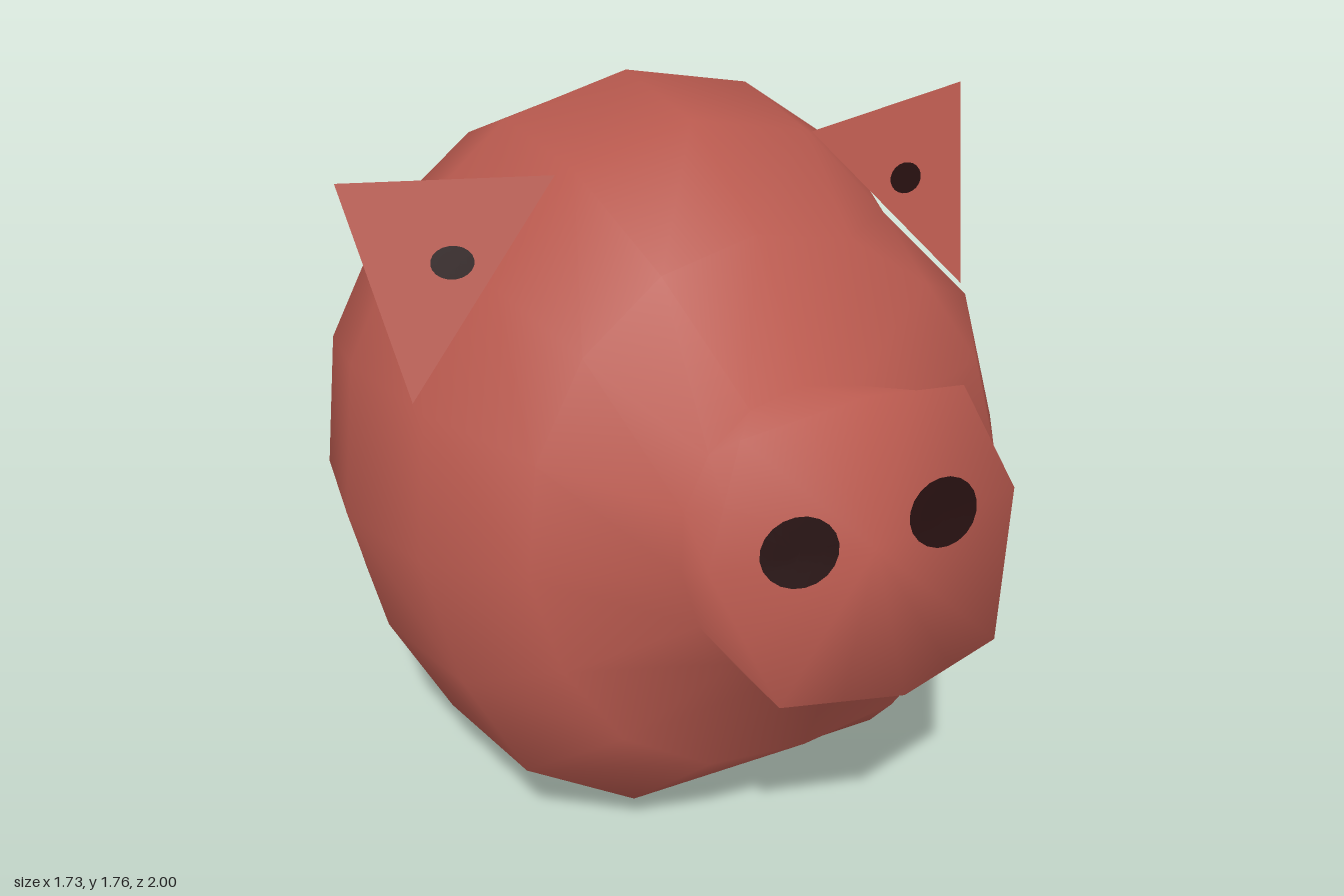
import * as THREE from 'three';
import { ConvexGeometry } from 'three/addons/geometries/ConvexGeometry.js';

const SEGS = 16;

// Head cross-sections from back to front: side (x, y, z), top (y, z), bottom (y, z), flatness of underside
const SECTIONS = [
  [0.35, 0.69, -1.0, 1.02, -0.99, 0.36, -0.96, 0],
  [0.63, 0.73, -0.83, 1.35, -0.93, 0.12, -0.8, 0.3],
  [0.81, 0.77, -0.54, 1.62, -0.7, 0.0, -0.45, 1],
  [0.865, 0.81, -0.19, 1.765, -0.37, 0.06, -0.05, 1],
  [0.8, 0.86, 0.18, 1.74, -0.01, 0.12, 0.36, 1],
  [0.63, 0.91, 0.43, 1.57, 0.31, 0.34, 0.6, 0.4],
  [0.35, 0.96, 0.63, 1.29, 0.53, 0.62, 0.71, 0],
];
// Sideways and downward reach of a flattened underside, per step from side to bottom
const FLAT_X = [1, 0.93, 0.775, 0.44, 0];
const FLAT_Y = [0, 0.42, 0.78, 1, 1];

function sectionRing([rx, cy, cz, topY, topZ, botY, botZ, flat]) {
  const ring = [];
  for (let j = 0; j < SEGS; j++) {
    const a = (j / SEGS) * Math.PI * 2;
    let c = Math.cos(a), s = Math.sin(a);
    if (s < -1e-6) {
      const step = j <= 12 ? j - 8 : 16 - j;
      c = THREE.MathUtils.lerp(c, Math.sign(12.5 - j) * -FLAT_X[step], flat);
      s = THREE.MathUtils.lerp(s, -FLAT_Y[step], flat);
    }
    const t = Math.abs(s);
    ring.push(new THREE.Vector3(rx * c,
      cy + t * ((s > 0 ? topY : botY) - cy),
      cz + t * ((s > 0 ? topZ : botZ) - cz)));
  }
  return ring;
}

// Eight-sided snout rim, with a midpoint on every edge
function snoutRim() {
  const half = [[0, 1.385, 0.79], [0.275, 1.33, 0.75], [0.385, 1.08, 0.82], [0.275, 0.78, 0.94], [0, 0.76, 1.0]];
  const corner = [2, 1, 0, -1, -2, -3, 4, 3].map((i) => {
    const p = half[Math.abs(i)];
    return new THREE.Vector3(i < 0 ? -p[0] : p[0], p[1], p[2]);
  });
  return corner.flatMap((p, i) => [p, p.clone().lerp(corner[(i + 1) % 8], 0.5)]);
}

function headGeometry(rings, backPole, frontPole) {
  const points = [...rings.flat(), backPole, frontPole];
  const back = points.length - 2, front = points.length - 1;
  const last = (rings.length - 1) * SEGS;
  const index = [];
  for (let j = 0; j < SEGS; j++) {
    const n = (j + 1) % SEGS;
    index.push(back, n, j, front, last + j, last + n);
    for (let k = 0; k < rings.length - 1; k++) {
      const a = k * SEGS + j, b = k * SEGS + n;
      index.push(a, b, b + SEGS, a, b + SEGS, a + SEGS);
    }
  }
  const geo = new THREE.BufferGeometry().setFromPoints(points);
  geo.setIndex(index);
  geo.computeVertexNormals();
  return geo;
}

// Thin oval that follows the surface of a mesh, seen from the front
function ovalOn(target, x, y, rx, ry) {
  const geo = new THREE.RingGeometry(0, 1, 20, 3);
  const pos = geo.attributes.position;
  const ray = new THREE.Raycaster();
  const dir = new THREE.Vector3(0, 0, -1);
  for (let i = 0; i < pos.count; i++) {
    const px = x + pos.getX(i) * rx, py = y + pos.getY(i) * ry;
    ray.set(new THREE.Vector3(px, py, 3), dir);
    const hit = ray.intersectObject(target)[0];
    pos.setXYZ(i, px, py, (hit ? hit.point.z : 0) + 0.008);
  }
  geo.computeVertexNormals();
  return geo;
}

export function createModel() {
  const skin = new THREE.MeshStandardMaterial({ color: 0xb8594e });
  skin.name = 'pinkSkin';
  const dark = new THREE.MeshStandardMaterial({ color: 0x240e0e });
  dark.name = 'darkHoles';

  const group = new THREE.Group();
  group.name = 'pigHead';
  const add = (geo, mat, name) => {
    const mesh = new THREE.Mesh(geo, mat);
    mesh.name = name;
    group.add(mesh);
    return mesh;
  };

  // Head and snout in one smooth skin
  const rings = SECTIONS.map(sectionRing);
  for (const j of [2, 6]) {
    // tuck the skin in behind each ear
    rings[4][j].copy(rings[4][j - 1]).lerp(rings[4][j + 1], 0.5);
    rings[4][j].z -= 0.03;
  }
  rings.push(snoutRim());
  const head = add(headGeometry(rings, new THREE.Vector3(0, 0.7, -1), new THREE.Vector3(0, 1.05, 0.86)), skin, 'headAndSnout');

  for (const [side, s] of [['left', 1], ['right', -1]]) {
    // Pointed ear, flat in front and folded behind
    const earPoints = [[0.34, 1.655, -0.03], [0.75, 1.21, 0.07], [0.62, 1.46, -0.31], [0.83, 1.69, -0.11]]
      .map(([x, y, z]) => new THREE.Vector3(s * x, y, z));
    const ear = add(new ConvexGeometry(earPoints), skin, side + 'Ear');

    // Eye and nostril
    add(ovalOn(ear, s * 0.607, 1.5, 0.05, 0.036), dark, side + 'Eye');
    add(ovalOn(head, s * 0.18, 1.085, 0.092, 0.073), dark, side + 'Nostril');
  }
  return group;
}
